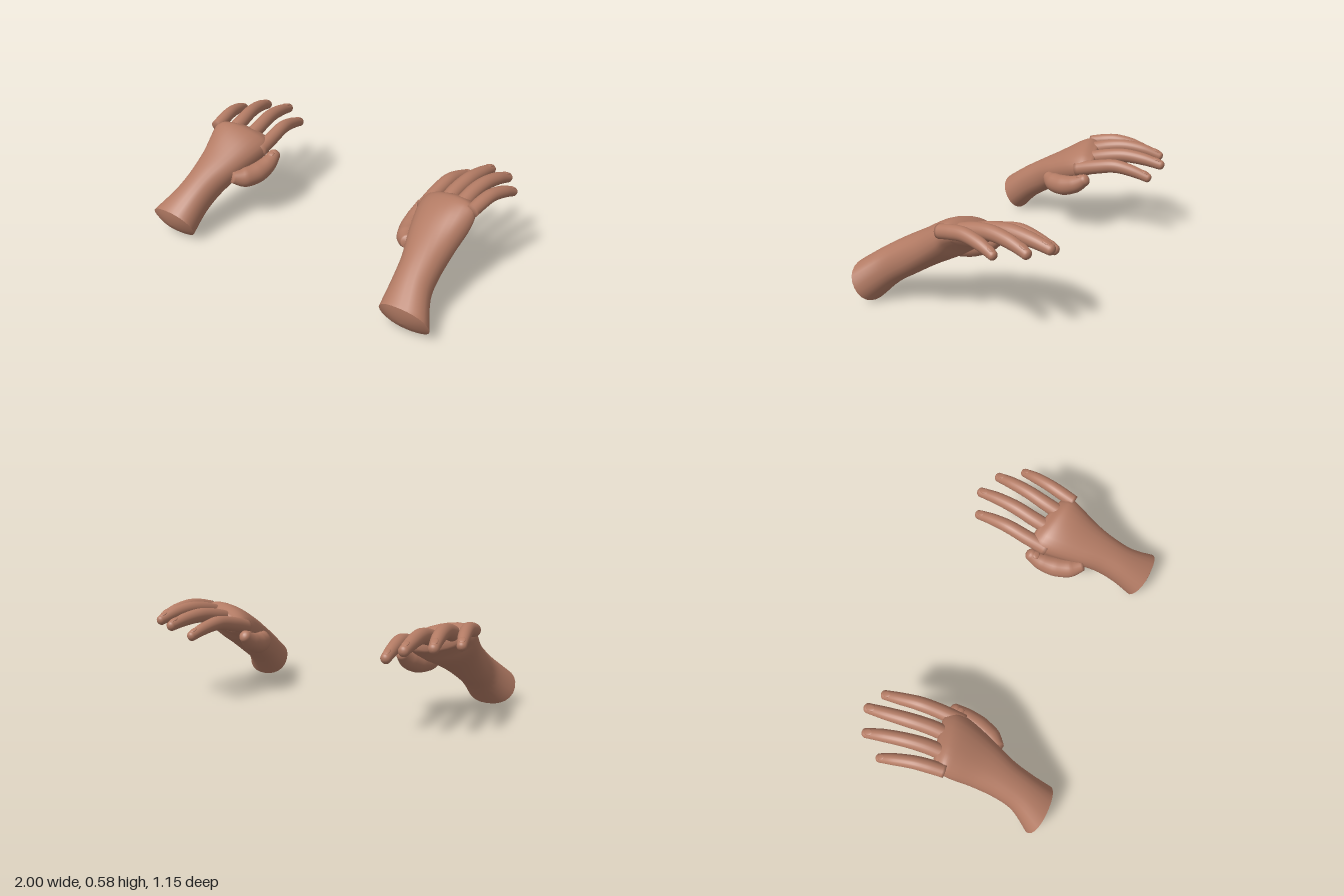
import * as THREE from 'three';

const SIDES = 24;

// Rows: x, y, z, half width, half thickness, pitch, roll, yaw (wrist to knuckles)
const PALM = [
  [0.815, 0.105, 0.525, 0.148, 0.118, 0.48, 0, 0],
  [0.78, 0.205, 0.40, 0.115, 0.107, 0.36, 0, 0],
  [0.765, 0.28, 0.28, 0.116, 0.105, 0.32, 0.05, 0],
  [0.75, 0.355, 0.15, 0.142, 0.1, 0.33, 0.15, 0],
  [0.74, 0.425, 0.02, 0.175, 0.1, 0.25, 0.22, 0.1],
  [0.735, 0.46, -0.05, 0.183, 0.085, 0.1, 0.25, 0.2],
  [0.735, 0.465, -0.10, 0.165, 0.06, 0, 0.25, 0.25],
];

// Centre line points with radius, base to tip
const DIGITS = {
  indexFinger: [[0.59, 0.42, -0.04, 0.046], [0.594, 0.455, -0.18, 0.044], [0.605, 0.475, -0.3, 0.042], [0.62, 0.455, -0.42, 0.036], [0.632, 0.418, -0.535, 0.027]],
  middleFinger: [[0.698, 0.455, -0.04, 0.046], [0.705, 0.495, -0.18, 0.045], [0.722, 0.515, -0.31, 0.043], [0.738, 0.505, -0.44, 0.038], [0.75, 0.475, -0.577, 0.028]],
  ringFinger: [[0.803, 0.49, -0.03, 0.046], [0.815, 0.528, -0.16, 0.044], [0.834, 0.542, -0.27, 0.041], [0.858, 0.528, -0.39, 0.037], [0.885, 0.487, -0.515, 0.027]],
  littleFinger: [[0.897, 0.52, 0.0, 0.038], [0.91, 0.538, -0.09, 0.04], [0.925, 0.546, -0.17, 0.038], [0.952, 0.527, -0.28, 0.034], [0.978, 0.488, -0.378, 0.024]],
  thumb: [[0.625, 0.325, 0.19, 0.035], [0.585, 0.305, 0.12, 0.062], [0.555, 0.308, 0.03, 0.065], [0.54, 0.335, -0.06, 0.055], [0.535, 0.385, -0.14, 0.034]],
};

// Skin over a list of rings, each ring an array of Vector3; side -1 mirrors it
function loft(rings, side) {
  const pos = [], index = [], n = rings[0].length;
  for (const ring of rings) for (const p of ring) pos.push(p.x * side, p.y, p.z);
  for (let i = 0; i < rings.length - 1; i++) {
    for (let j = 0; j < n; j++) {
      const a = i * n + j, b = i * n + (j + 1) % n, c = a + n, d = b + n;
      if (side > 0) index.push(a, c, b, b, c, d);
      else index.push(a, b, c, b, d, c);
    }
  }
  const g = new THREE.BufferGeometry();
  g.setAttribute('position', new THREE.Float32BufferAttribute(pos, 3));
  g.setIndex(index);
  g.computeVertexNormals();
  return g;
}

function ring(center, u, v, a, b, power = 1) {
  return Array.from({ length: SIDES }, (_, j) => {
    const t = j / SIDES * Math.PI * 2, c = Math.cos(t), s = Math.sin(t);
    const x = Math.sign(c) * Math.abs(c) ** power, y = Math.sign(s) * Math.abs(s) ** power;
    return center.clone().addScaledVector(u, x * a).addScaledVector(v, y * b);
  });
}

// Smooth in-between row of the palm table
function palmRow(t) {
  const k = Math.min(Math.floor(t), PALM.length - 2), f = t - k;
  const at = i => PALM[Math.max(0, Math.min(PALM.length - 1, i))];
  return PALM[k].map((_, c) => {
    const [p, q, r, s] = [at(k - 1)[c], at(k)[c], at(k + 1)[c], at(k + 2)[c]];
    return q + 0.5 * f * (r - p + f * (2 * p - 5 * q + 4 * r - s + f * (3 * (q - r) + s - p)));
  });
}

function palmRing([x, y, z, a, b, pitch, roll, yaw], scale = 1, push = 0) {
  const u = new THREE.Vector3(Math.cos(roll), Math.sin(roll), yaw);
  const v = new THREE.Vector3(-Math.sin(roll), Math.cos(pitch), Math.sin(pitch));
  const out = u.clone().cross(v).normalize();
  const c = new THREE.Vector3(x, y, z).addScaledVector(out, push);
  return ring(c, u, v, a * scale, b * scale, 0.9);
}

function palmGeometry(side) {
  const rings = [];
  for (let i = 0; i <= 36; i++) rings.push(palmRing(palmRow(i / 36 * (PALM.length - 1))));
  // rounded knuckle end
  const last = PALM[PALM.length - 1];
  for (const [s, d] of [[0.92, -0.012], [0.75, -0.02], [0.4, -0.024], [0, -0.025]]) rings.push(palmRing(last, s, d));
  return loft(rings, side);
}

// Slightly domed cut at the wrist
function wristCapGeometry(side) {
  const rings = [0, 0.3, 0.55, 0.75, 0.9, 1].map(s => palmRing(PALM[0], s, 0.03 * (1 - s * s)));
  return loft(rings, side);
}

function digitFrame(curve, t) {
  const dir = curve.getTangent(t);
  const u = dir.clone().cross(new THREE.Vector3(0, 1, 0)).normalize();
  return { c: curve.getPoint(t), u, v: u.clone().cross(dir), dir };
}

function digitParts(points, side) {
  const curve = new THREE.CatmullRomCurve3(points.map(p => new THREE.Vector3(...p)));
  const steps = 24, tipR = points[points.length - 1][3], rings = [];
  const radius = t => {
    const f = t * (points.length - 1), k = Math.min(Math.floor(f), points.length - 2);
    return THREE.MathUtils.lerp(points[k][3], points[k + 1][3], f - k);
  };
  const first = digitFrame(curve, 0);
  rings.push(ring(first.c, first.u, first.v, 0, 0));
  const end = 0.95;
  for (let i = 0; i <= steps; i++) {
    const t = i / steps * end, { c, u, v } = digitFrame(curve, t);
    rings.push(ring(c, u, v, radius(t) * 0.97, radius(t)));
  }
  // round fingertip
  const tip = digitFrame(curve, end), r = radius(end);
  for (let i = 1; i <= 6; i++) {
    const a = i / 6 * Math.PI / 2;
    const c = tip.c.clone().addScaledVector(tip.dir, Math.sin(a) * tipR * 0.85);
    rings.push(ring(c, tip.u, tip.v, Math.cos(a) * r * 0.97, Math.cos(a) * r));
  }
  // thin nail following the back of the tip
  const nail = [];
  for (let i = 0; i <= 8; i++) {
    const t = 0.84 + i / 8 * 0.12, { c, u, v } = digitFrame(curve, t);
    const w = Math.sqrt(Math.max(0, 1 - (i / 4 - 1) ** 2)) * radius(t) * 0.6;
    nail.push(ring(c.addScaledVector(v, radius(t) * 0.86), u, v, w, w * 0.36));
  }
  return { body: loft(rings, side), nail: loft(nail, side) };
}

export function createModel() {
  const skin = new THREE.MeshStandardMaterial({ color: 0xb37b64 });
  skin.name = 'skin';
  const model = new THREE.Group();
  model.name = 'pairOfHands';

  for (const [name, side] of [['leftHand', 1], ['rightHand', -1]]) {
    const hand = new THREE.Group();
    hand.name = name;
    const add = (part, geometry) => {
      const mesh = new THREE.Mesh(geometry, skin);
      mesh.name = part;
      hand.add(mesh);
    };
    add('palm', palmGeometry(side));
    add('wristCap', wristCapGeometry(side));
    for (const [digit, points] of Object.entries(DIGITS)) {
      const { body, nail } = digitParts(points, side);
      add(digit, body);
      add(digit + 'Nail', nail);
    }
    model.add(hand);
  }
  return model;
}
